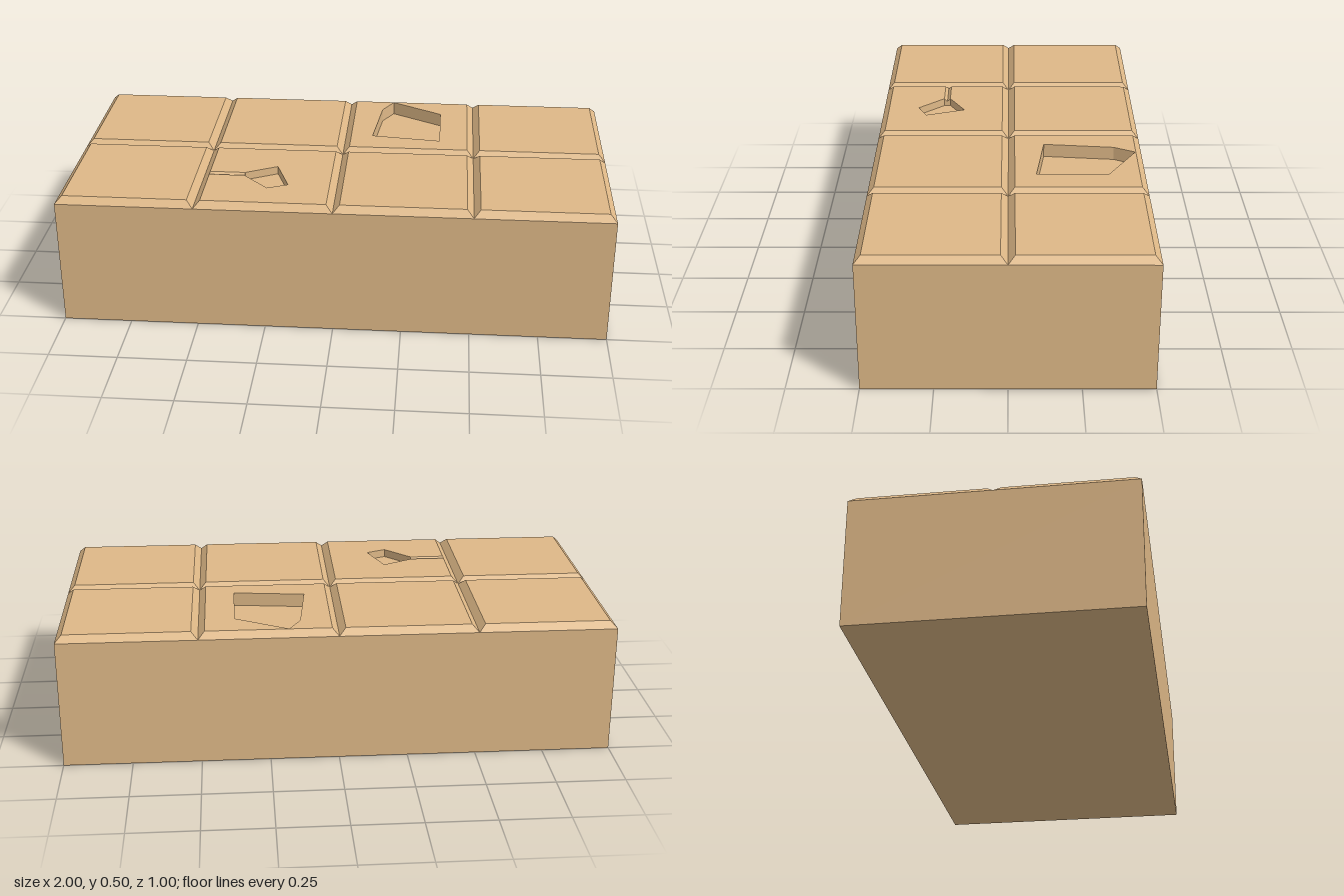
import * as THREE from 'three';

const TOP = 0.5, EDGE = 0.476, BEVEL = 0.024, TILE = 0.5;
const material = new THREE.MeshStandardMaterial({ color: 0xdeb887, flatShading: true });

function mesh(name, geometry) {
  const m = new THREE.Mesh(geometry, material);
  m.name = name;
  return m;
}

// Open four-sided frustum, from a lower rectangle (w x d) to an upper one inset on all sides.
function skirt(w, d, y0, y1, inset) {
  const g = new THREE.CylinderGeometry(Math.SQRT1_2, Math.SQRT1_2, y1 - y0, 4, 1, true, Math.PI / 4);
  const p = g.attributes.position;
  for (let i = 0; i < p.count; i++) {
    const s = p.getY(i) > 0 ? inset * 2 : 0;
    p.setX(i, p.getX(i) * (w - s));
    p.setZ(i, p.getZ(i) * (d - s));
  }
  g.translate(0, (y0 + y1) / 2, 0);
  return g;
}

// Flat upward-facing polygon from [x, z] points, with optional holes.
function flat(points, y, holes = []) {
  const toVec = ([x, z]) => new THREE.Vector2(x, -z);
  const shape = new THREE.Shape(points.map(toVec));
  holes.forEach(h => shape.holes.push(new THREE.Path(h.map(toVec))));
  return new THREE.ShapeGeometry(shape).rotateX(-Math.PI / 2).translate(0, y, 0);
}

// Separate quads, each from four [x, y, z] corners.
function quads(list) {
  const pos = [];
  for (const [a, b, c, d] of list) pos.push(...a, ...b, ...c, ...a, ...c, ...d);
  const g = new THREE.BufferGeometry();
  g.setAttribute('position', new THREE.Float32BufferAttribute(pos, 3));
  g.computeVertexNormals();
  return g;
}

// Sunken pit: inward walls and floor. Points are [x, z, rim height], anticlockwise from above.
function pit(name, outline, depth) {
  const low = TOP - depth;
  const walls = outline.map(([x, z, y = TOP], i) => {
    const [u, v, w = TOP] = outline[(i + 1) % outline.length];
    return [[x, y, z], [u, w, v], [u, low, v], [x, low, z]];
  });
  const group = new THREE.Group();
  group.name = name;
  group.add(mesh(name + 'Walls', quads(walls)), mesh(name + 'Floor', flat(outline, low)));
  return group;
}

export function createModel() {
  const model = new THREE.Group();
  model.name = 'stoneBlock';

  // Main block, open under the tiles
  model.add(mesh('blockSides', skirt(2, 1, 0, EDGE, 0)));
  model.add(mesh('blockBottom', new THREE.PlaneGeometry(2, 1).rotateX(Math.PI / 2)));

  // Chip outlines; the small one is joined by a V-shaped scratch
  const zA = 0.236, zB = 0.26, zM = 0.248, xEnd = -0.345, xStart = -0.476;
  const large = [[0.107, -0.134], [0.369, -0.102], [0.369, -0.364], [0.176, -0.474], [0.134, -0.396]];
  const smallRim = [[-0.25, 0.358], [-0.176, 0.326], [-0.23, 0.176]];
  const small = [[xEnd, zA], [xEnd, zM, TOP - 0.012], [xEnd, zB], ...smallRim];

  // Eight bevelled tiles in a 4 x 2 grid
  for (let col = 0; col < 4; col++) {
    for (let row = 0; row < 2; row++) {
      const cx = (col - 1.5) * TILE, cz = (row - 0.5) * TILE, h = TILE / 2 - BEVEL;
      const face = [[cx - h, cz + h], [cx + h, cz + h], [cx + h, cz - h], [cx - h, cz - h]];
      if (col === 1 && row === 1) {
        face.push([xStart, zA], [xEnd, zA], ...[...smallRim].reverse(), [xEnd, zB], [xStart, zB]);
      }
      const tile = new THREE.Group();
      tile.name = `tile${col}${row}`;
      tile.add(mesh('tileBevel', skirt(TILE, TILE, EDGE, TOP, BEVEL).translate(cx, 0, cz)));
      tile.add(mesh('tileFace', flat(face, TOP, col === 2 && row === 0 ? [large] : [])));
      model.add(tile);
    }
  }

  // Chips and scratch
  model.add(pit('largeChip', large, 0.05), pit('smallChip', small, 0.03));
  const m0 = [xStart - 0.012, TOP - 0.012, zM], m1 = [xEnd, TOP - 0.012, zM];
  model.add(mesh('scratch', quads([
    [[xStart, TOP, zA], m0, m1, [xEnd, TOP, zA]],
    [m0, [xStart, TOP, zB], [xEnd, TOP, zB], m1],
  ])));
  return model;
}
